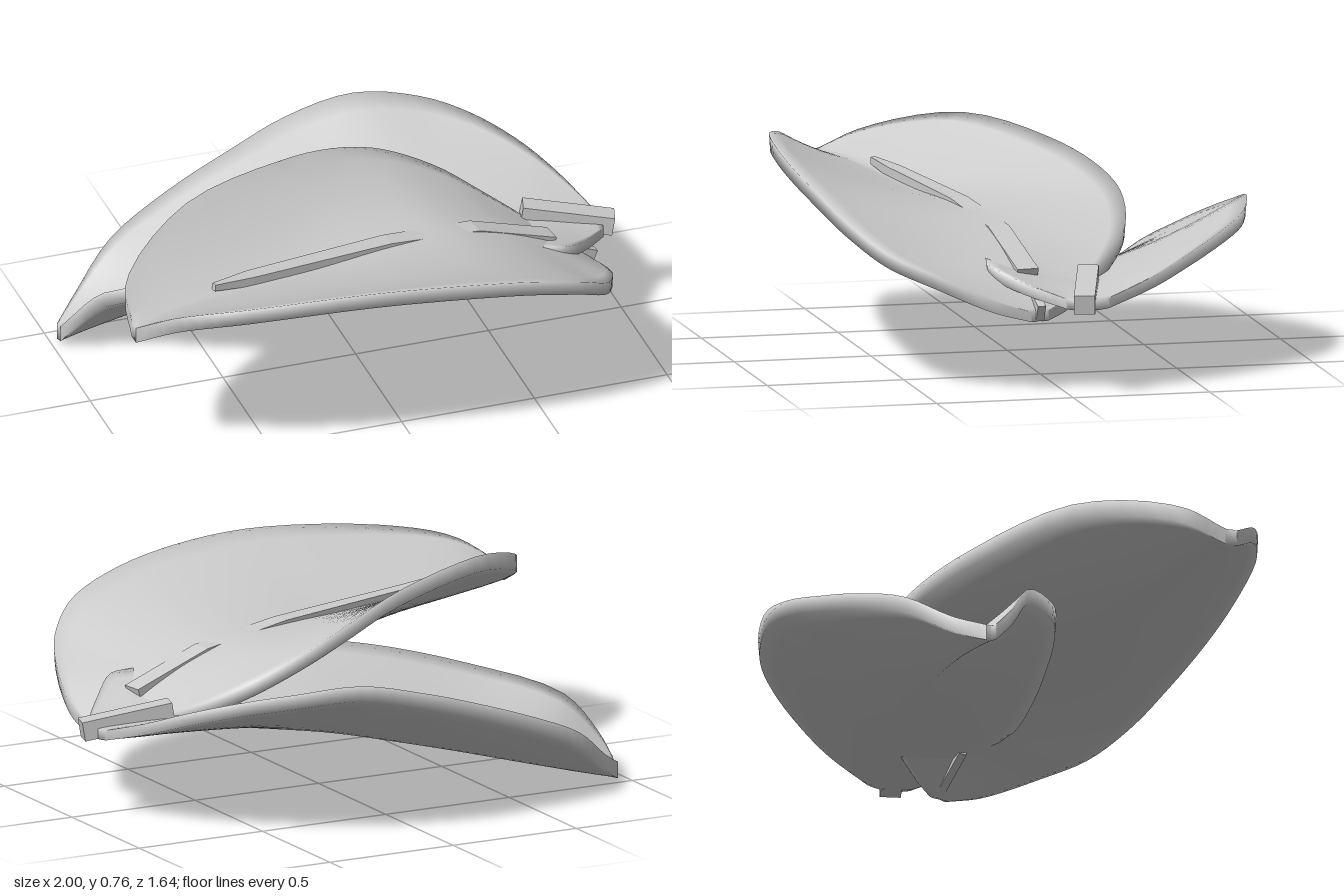
import * as THREE from 'three';

const leafMat = new THREE.MeshStandardMaterial({ color: 0xcccccc, side: THREE.DoubleSide });
const barMat = new THREE.MeshStandardMaterial({ color: 0xcccccc, flatShading: true, side: THREE.DoubleSide });
const V = (x, y, z) => new THREE.Vector3(x, y, z);

// Stations from tip to base: front rim, underside midrib, back rim (x, y, z each)
const upperStations = [
  [-1, .58, .5, -1, .52, .48, -1, .58, .45],
  [-.88, .66, .61, -.85, .515, .41, -.97, .65, .3],
  [-.66, .705, .71, -.62, .505, .34, -.66, .75, .02],
  [-.2, .735, .8, -.25, .49, .26, -.2, .725, -.21],
  [.1, .715, .815, .05, .495, .2, .05, .665, -.32],
  [.38, .665, .79, .3, .485, .16, .23, .6, -.36],
  [.6, .59, .73, .48, .44, .13, .42, .51, -.33],
  [.73, .5, .62, .6, .395, .11, .56, .43, -.24],
  [.81, .425, .46, .7, .35, .1, .68, .365, -.13],
  [.86, .335, .26, .79, .295, .09, .77, .315, -.03],
  [.86, .29, .12, .85, .255, .09, .84, .29, .05],
];
const lowerStations = [
  [-.97, .07, -.41, -.965, .002, -.43, -.97, .06, -.45],
  [-.95, .15, -.34, -.85, .03, -.43, -.87, .12, -.54],
  [-.86, .28, -.25, -.62, .09, -.41, -.7, .25, -.65],
  [-.58, .38, -.04, -.35, .16, -.37, -.45, .36, -.73],
  [-.25, .46, .1, -.1, .22, -.33, -.2, .45, -.78],
  [.05, .495, .19, .1, .265, -.3, .02, .52, -.82],
  [.3, .485, .24, .3, .295, -.26, .27, .575, -.81],
  [.5, .455, .25, .48, .315, -.22, .5, .555, -.74],
  [.62, .45, .23, .62, .315, -.18, .65, .52, -.63],
  [.71, .44, .24, .74, .312, -.14, .78, .465, -.48],
  [.82, .39, .14, .84, .308, -.1, .87, .405, -.33],
  [.93, .345, .01, .95, .305, -.06, .94, .345, -.15],
];

// Thick cupped leaf: a closed cross-section loop (top, then underside) swept from tip to base
function blade(name, stations) {
  const rows = 44, cols = 16, loop = 2 * (cols + 1);
  const [front, mid, back] = [0, 3, 6].map(k =>
    new THREE.CatmullRomCurve3(stations.map(s => V(s[k], s[k + 1], s[k + 2]))));
  const pos = [], idx = [];
  for (let i = 0; i <= rows; i++) {
    const t = i / rows, m = mid.getPoint(t);
    const thick = 0.06 * (1 - 0.4 * t ** 3);
    for (let k = 0; k < loop; k++) {
      const top = k <= cols;
      const s = (top ? k : loop - 1 - k) / cols * 2 - 1;
      const u = Math.abs(s);
      const e = (s < 0 ? front : back).getPoint(t);
      const p = m.clone();
      if (top) p.y += thick;
      else e.y -= thick;
      const sag = (top ? 0.13 : 0.17) * u * (1 - u) * m.distanceTo(e);
      p.lerp(e, top ? u : u * 0.99);
      pos.push(p.x, p.y - sag, p.z);
      if (i < rows) {
        const a = i * loop + k, b = i * loop + (k + 1) % loop;
        idx.push(a, a + loop, b, a + loop, b + loop, b);
      }
    }
  }
  // Close the tip and the base
  const end = rows * loop;
  for (let k = 0; k < cols; k++) {
    const c = loop - 2 - k, d = loop - 1 - k;
    idx.push(k, k + 1, c, k, c, d);
    idx.push(end + k, end + c, end + k + 1, end + k, end + d, end + c);
  }
  const g = new THREE.BufferGeometry();
  g.setAttribute('position', new THREE.Float32BufferAttribute(pos, 3));
  g.setIndex(idx);
  g.computeVertexNormals();
  const mesh = new THREE.Mesh(g, leafMat);
  mesh.name = name;
  return mesh;
}

// Square-section bar along points; sizes give [width, height] at each point
function bar(name, points, sizes) {
  const pos = [], idx = [], n = points.length;
  points.forEach((p, i) => {
    const d = points[Math.min(i + 1, n - 1)].clone().sub(points[Math.max(i - 1, 0)]).normalize();
    const side = d.clone().cross(V(0, 1, 0)).normalize();
    const up = side.clone().cross(d);
    const [w, h] = sizes[i];
    for (const [a, b] of [[-1, -1], [1, -1], [1, 1], [-1, 1]]) {
      const q = p.clone().addScaledVector(side, a * w / 2).addScaledVector(up, b * h / 2);
      pos.push(q.x, q.y, q.z);
    }
    if (i < n - 1) for (let k = 0; k < 4; k++) {
      const a = 4 * i + k, b = 4 * i + (k + 1) % 4;
      idx.push(a, b, a + 4, b, b + 4, a + 4);
    }
  });
  const e = 4 * (n - 1);
  idx.push(0, 2, 1, 0, 3, 2, e, e + 1, e + 2, e, e + 2, e + 3);
  const g = new THREE.BufferGeometry();
  g.setAttribute('position', new THREE.Float32BufferAttribute(pos, 3));
  g.setIndex(idx);
  const flat = g.toNonIndexed();
  flat.computeVertexNormals();
  const mesh = new THREE.Mesh(flat, barMat);
  mesh.name = name;
  return mesh;
}

export function createModel() {
  const model = new THREE.Group();
  model.name = 'leafPair';
  const veinSizes = [[.02, .025], [.055, .035], [.07, .04], [.08, .04], [.08, .04]];

  // Upper leaf at the front
  const upper = new THREE.Group();
  upper.name = 'upperLeaf';
  upper.add(
    blade('upperBlade', upperStations),
    bar('upperVein', [V(-.65, .59, .335), V(-.5, .575, .295), V(.05, .55, .19),
      V(.4, .505, .13), V(.7, .4, .095)], veinSizes),
    bar('upperStem', [V(.66, .375, .1), V(.865, .285, .085)], [[.03, .06], [.03, .06]]),
  );

  // Lower leaf at the back
  const lower = new THREE.Group();
  lower.name = 'lowerLeaf';
  lower.add(
    blade('lowerBlade', lowerStations),
    bar('lowerVein', [V(-.6, .175, -.42), V(-.45, .205, -.395), V(.05, .32, -.305),
      V(.3, .36, -.255), V(.5, .375, -.21)], veinSizes),
    bar('lowerStem', [V(.67, .385, -.135), V(.985, .33, -.045)], [[.075, .07], [.075, .07]]),
  );

  model.add(upper, lower);
  return model;
}
